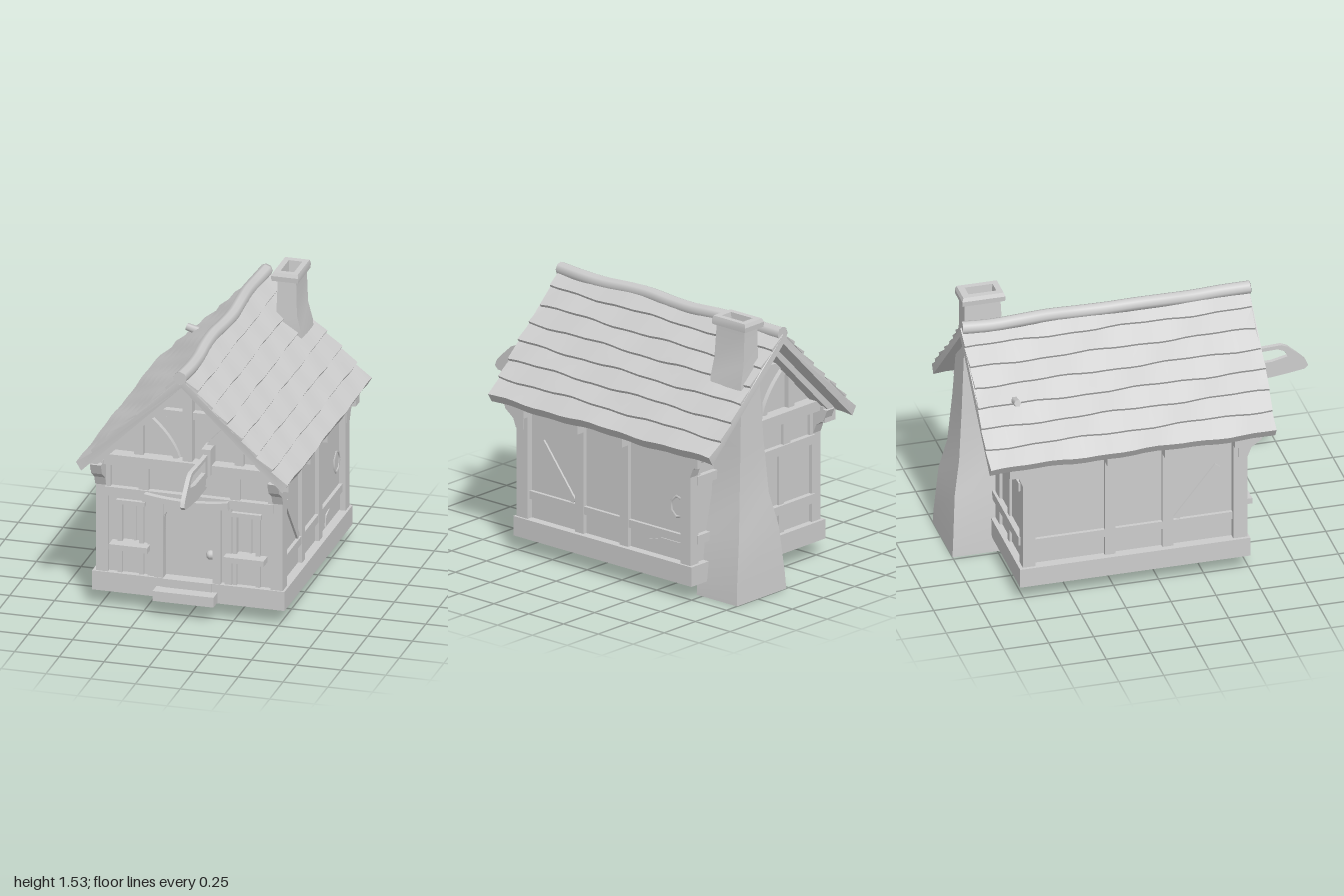
import * as THREE from 'three';
import { toCreasedNormals } from 'three/addons/utils/BufferGeometryUtils.js';

export function createModel() {
  const house = new THREE.Group();
  house.name = 'cottage';
  const clay = new THREE.MeshStandardMaterial({ color: 0xcccccc, side: THREE.DoubleSide });
  clay.name = 'clay grey';

  const add = (name, geometry, parent = house) => {
    const mesh = new THREE.Mesh(geometry, clay);
    mesh.name = name;
    parent.add(mesh);
    return mesh;
  };
  // Box given by its limits on each axis
  const box = (name, x0, x1, y0, y1, z0, z1, parent) => {
    const mesh = add(name, new THREE.BoxGeometry(x1 - x0, y1 - y0, z1 - z0), parent);
    mesh.position.set((x0 + x1) / 2, (y0 + y1) / 2, (z0 + z1) / 2);
    return mesh;
  };
  const polygon = (points) => new THREE.Shape(points.map(([x, y]) => new THREE.Vector2(x, y)));
  const slab = (name, shape, z0, z1, parent, steps = 1) => {
    const g = new THREE.ExtrudeGeometry(shape, { depth: z1 - z0, steps, bevelEnabled: false, curveSegments: 8 });
    g.translate(0, 0, z0);
    return add(name, toCreasedNormals(g, 0.5), parent);
  };
  // Straight slanted timber in the xy plane
  const timber = (name, a, b, width, z0, z1, parent) => {
    const dx = b[0] - a[0], dy = b[1] - a[1];
    const mesh = add(name, new THREE.BoxGeometry(Math.hypot(dx, dy), width, z1 - z0), parent);
    mesh.position.set((a[0] + b[0]) / 2, (a[1] + b[1]) / 2, (z0 + z1) / 2);
    mesh.rotation.z = Math.atan2(dy, dx);
    return mesh;
  };
  // Curved timber: a quadratic strip of constant width
  const curvedTimber = (name, a, c, b, width, z0, z1, parent) => {
    const v = (p) => new THREE.Vector2(...p);
    const curve = new THREE.QuadraticBezierCurve(v(a), v(c), v(b));
    const outer = [], inner = [];
    for (let i = 0; i <= 8; i++) {
      const p = curve.getPoint(i / 8), t = curve.getTangent(i / 8);
      outer.push([p.x - t.y * width / 2, p.y + t.x * width / 2]);
      inner.unshift([p.x + t.y * width / 2, p.y - t.x * width / 2]);
    }
    return slab(name, polygon([...outer, ...inner]), z0, z1, parent);
  };

  // Open foundation frame
  for (const s of [-1, 1]) {
    const [a, b] = s < 0 ? [-0.54, -0.45] : [0.45, 0.535];
    box('sideSill', a, b, 0.09, 0.2, -0.78, 0.5);
  }
  box('frontSill', -0.46, 0.46, 0.09, 0.2, 0.41, 0.5);
  box('backSill', -0.46, 0.46, 0.09, 0.2, -0.78, -0.69);
  box('doorStep', -0.18, 0.16, 0.095, 0.152, 0.48, 0.575);

  // Plaster end walls up to the gable peak
  const gable = () => polygon([[-0.48, 0.18], [0.48, 0.18], [0.48, 0.9], [0, 1.39], [-0.48, 0.9]]);
  const frontWall = gable();
  const doorway = polygon([[-0.145, 0.19], [0.13, 0.19], [0.13, 0.54]]);
  doorway.quadraticCurveTo(0.12, 0.6, 0.06, 0.605);
  doorway.lineTo(-0.08, 0.605);
  doorway.quadraticCurveTo(-0.14, 0.59, -0.145, 0.54);
  frontWall.holes.push(doorway);
  const windows = [[-0.39, -0.27], [0.25, 0.38]];
  for (const [a, b] of windows) frontWall.holes.push(polygon([[a, 0.38], [b, 0.38], [b, 0.6], [a, 0.6]]));
  slab('frontPlaster', frontWall, 0.44, 0.465);
  slab('backPlaster', gable(), -0.74, -0.72);

  // Door and windows
  box('door', -0.16, 0.14, 0.17, 0.62, 0.42, 0.435);
  box('doorThreshold', -0.145, 0.13, 0.15, 0.2, 0.44, 0.505);
  const knob = add('doorHandle', new THREE.SphereGeometry(0.026, 8, 6));
  knob.position.set(0.11, 0.35, 0.46);
  box('doorPostLeft', 0.13, 0.175, 0.2, 0.65, 0.44, 0.495);
  box('doorPostRight', -0.195, -0.145, 0.2, 0.65, 0.44, 0.495);
  const arch = polygon([[-0.15, 0.65], [-0.15, 0.54]]);
  arch.quadraticCurveTo(-0.14, 0.59, -0.08, 0.605);
  arch.lineTo(0.06, 0.605);
  arch.quadraticCurveTo(0.12, 0.6, 0.135, 0.54);
  arch.lineTo(0.135, 0.65);
  slab('doorArch', arch, 0.44, 0.49);
  for (const [a, b] of windows) {
    box('windowPane', a - 0.01, b + 0.01, 0.37, 0.61, 0.43, 0.44);
    for (const x of [a, b]) box('windowJamb', x - 0.012, x + 0.012, 0.2, 0.61, 0.45, 0.482);
    box('windowHead', a - 0.02, b + 0.02, 0.595, 0.62, 0.45, 0.488);
    box('windowMullion', (a + b) / 2 + 0.01, (a + b) / 2 + 0.022, 0.38, 0.6, 0.435, 0.45);
    box('windowSill', a - 0.045, b + 0.05, 0.348, 0.38, 0.45, 0.54);
  }
  const lintel = polygon([[-0.25, 0.645], [0.23, 0.645], [0.225, 0.69]]);
  lintel.quadraticCurveTo(0, 0.65, -0.24, 0.69);
  slab('doorLintel', lintel, 0.46, 0.535);

  // Timber framing shared by both ends; the back copy is turned round
  const endFrame = (name, isFront) => {
    const g = new THREE.Group();
    g.name = name;
    box('middleBeam', -0.47, 0.47, 0.645, 0.695, 0.44, 0.5, g);
    box('tieBeam', -0.47, 0.47, 0.84, 0.9, 0.45, 0.54, g);
    box('kingPost', -0.028, 0.024, 0.9, 1.39, 0.45, 0.52, g);
    box('collarBeam', -0.23, 0.23, 1.14, 1.18, 0.45, 0.505, g);
    for (const s of [-1, 1]) {
      const post = (n, x, w, y0, y1, z1) => box(n, s * x - w / 2, s * x + w / 2, y0, y1, 0.44, z1, g);
      post('studUpper', 0.255, 0.055, 0.69, 0.84, 0.49);
      post('studGable', 0.28, 0.05, 0.9, 1.1, 0.5);
      post('studEdge', 0.46, 0.04, 0.69, 0.86, 0.49);
      post('studLower', 0.215, 0.04, 0.2, 0.65, 0.485);
      if (!isFront) post('studMiddle', 0.02, 0.045, 0.2, 0.65, 0.485);
      curvedTimber('gableBrace', [s * 0.07, 0.9], [s * 0.11, 1.02], [s * 0.24, 1.12], 0.035, 0.45, 0.495, g);
      timber('rafter', [s * 0.005, 1.365], [s * 0.53, 0.85], 0.06, 0.49, 0.575, g);
      // Curved bracket under the overhang
      const side = polygon([[0.44, 0.85], [0.59, 0.85], [0.565, 0.79], [0.51, 0.75], [0.49, 0.7], [0.44, 0.7]]);
      const bracket = slab('jettyBracket', side, -0.03, 0.03, g);
      bracket.rotation.y = -Math.PI / 2;
      bracket.position.x = s * 0.495;
    }
    house.add(g);
    return g;
  };
  endFrame('frontFrame', true);
  const back = endFrame('backFrame', false);
  back.rotation.y = Math.PI;
  back.position.z = -0.27;
  box('backRail', -0.47, 0.47, 0.31, 0.36, -0.77, -0.73);

  // Long side walls, posts, rails and rafter ends
  const postZ = [[0.41, 0.49], [0.02, 0.08], [-0.3, -0.24], [-0.76, -0.69]];
  for (const s of [-1, 1]) {
    const sideBox = (name, xIn, xOut, y0, y1, z0, z1) =>
      box(name, Math.min(s * xIn, s * xOut), Math.max(s * xIn, s * xOut), y0, y1, z0, z1);
    sideBox('sidePlaster', 0.465, 0.485, 0.18, 0.88, -0.73, 0.45);
    sideBox('sideRail', 0.47, 0.505, 0.31, 0.355, -0.7, 0.42);
    sideBox('wallPlate', 0.465, 0.51, 0.82, 0.865, -0.83, 0.55);
    postZ.forEach(([z0, z1], i) => {
      const corner = i === 0 || i === 3;
      sideBox('sidePost', 0.455, corner ? 0.522 : 0.508, 0.19, 0.85, z0, z1);
      const shift = i === 3 ? -0.08 : 0;
      sideBox('rafterEnd', 0.47, 0.555, 0.775, 0.845, z0 + shift, z1 + shift);
    });
    const brace = timber('sideBrace', [0.1, 0.36], [0.33, 0.65], 0.04, -0.02, 0.015);
    brace.position.set(s * 0.482, 0.505, 0.215);
    brace.rotation.set(Math.atan2(-0.29, 0.23), 0, 0);
    brace.geometry = new THREE.BoxGeometry(0.03, 0.035, 0.37);
  }

  // Broken plaster patches on the left wall
  const patch = add('plasterPatch', new THREE.TorusGeometry(0.052, 0.007, 4, 7));
  patch.rotation.y = Math.PI / 2;
  patch.position.set(0.486, 0.5, -0.64);
  patch.scale.y = 1.15;
  const chip = slab('plasterChip', polygon([[-0.69, 0.21], [-0.42, 0.21], [-0.43, 0.27], [-0.53, 0.3], [-0.69, 0.3]]), 0, 0.008);
  chip.rotation.y = -Math.PI / 2;
  chip.position.x = 0.492;

  // Roof: stepped shingle courses swept along z, then gently warped
  const half = [];
  const courses = 7, run = 0.083;
  for (let i = 0; i < courses; i++) {
    const u0 = i * run, u1 = u0 + run;
    half.push([u0 + 0.002, 1.428 - 0.98 * u0], [u1 + 0.01, 1.442 - 0.98 * u1]);
  }
  half.push([0.562, 0.825]);
  const mirrored = half.map(([x, y]) => [-x, y]).reverse();
  const roof = new THREE.ExtrudeGeometry(polygon([...half, [0, 1.375], ...mirrored]),
    { depth: 1.595, steps: 24, bevelEnabled: false });
  roof.translate(0, 0, -0.958);
  const p = roof.attributes.position;
  for (let i = 0; i < p.count; i++) {
    const x = p.getX(i), z = p.getZ(i), k = Math.floor(Math.abs(x) / run + 0.3);
    p.setY(i, p.getY(i) + 0.005 * Math.sin(9 * z + 2.1 * k + x) + 0.003 * Math.sin(23 * z + k * 4));
    if (Math.abs(z) > 0.63) p.setZ(i, z + 0.006 * Math.sin(k * 5 + z));
  }
  add('shingleRoof', toCreasedNormals(roof, 0.5));

  // Ridge roll
  const ridgePoints = [];
  for (let i = 0; i <= 10; i++) {
    ridgePoints.push(new THREE.Vector3(-0.006 + 0.008 * Math.sin(i * 1.3), 1.426 + 0.005 * Math.cos(i * 1.7), 0.645 - i * 0.16));
  }
  const ridge = new THREE.CatmullRomCurve3(ridgePoints);
  add('ridgeRoll', new THREE.TubeGeometry(ridge, 30, 0.037, 8));
  for (const z of [0.645, -0.955]) {
    const end = add('ridgeEnd', new THREE.CircleGeometry(0.037, 8));
    end.position.set(z > 0 ? -0.006 : 0, 1.43, z);
  }

  // Chimney lofted from rectangles [y, x0, x1, z0, z1], ending inside the flue
  const rings = [
    [0, 0.02, 0.415, -1, -0.71], [0.09, 0.025, 0.41, -0.995, -0.71], [0.36, 0.055, 0.375, -0.978, -0.71],
    [0.55, 0.095, 0.33, -0.942, -0.71], [0.85, 0.115, 0.3, -0.922, -0.7], [1.2, 0.13, 0.275, -0.905, -0.685],
    [1.3, 0.135, 0.25, -0.9, -0.69], [1.485, 0.14, 0.243, -0.9, -0.7], [1.487, 0.11, 0.258, -0.918, -0.682],
    [1.515, 0.108, 0.26, -0.92, -0.68], [1.535, 0.118, 0.255, -0.912, -0.688], [1.535, 0.15, 0.225, -0.875, -0.72],
    [1.36, 0.16, 0.215, -0.86, -0.74],
  ];
  const verts = [], faces = [];
  rings.forEach(([y, a, b, c, d], r) => {
    verts.push(a, y, d, b, y, d, b, y, c, a, y, c);
    if (r) for (let k = 0; k < 4; k++) {
      const i = (r - 1) * 4 + k, j = (r - 1) * 4 + (k + 1) % 4;
      faces.push(i, j, j + 4, i, j + 4, i + 4);
    }
  });
  const n = (rings.length - 1) * 4;
  faces.push(0, 2, 1, 0, 3, 2, n, n + 1, n + 2, n, n + 2, n + 3);
  const stack = new THREE.BufferGeometry();
  stack.setAttribute('position', new THREE.Float32BufferAttribute(verts, 3));
  stack.setIndex(faces);
  add('chimney', toCreasedNormals(stack, 0.4));

  // Small vent pipe poking out of the roof
  const vent = add('roofVent', new THREE.CylinderGeometry(0.02, 0.024, 0.1, 6));
  vent.position.set(-0.335, 1.125, -0.75);
  vent.rotation.z = 1.3;

  // Hanging sign: leaf-shaped board below an open bracket
  const sign = polygon([[1, 0.835], [0.985, 0.87], [0.94, 0.915], [0.885, 0.965], [0.85, 0.98], [0.64, 0.97],
    [0.5, 0.97], [0.5, 0.85], [0.59, 0.84], [0.6, 0.8], [0.57, 0.785], [0.75, 0.785], [0.88, 0.8], [0.98, 0.815]]);
  sign.holes.push(polygon([[0.885, 0.905], [0.87, 0.94], [0.83, 0.957], [0.6, 0.95], [0.6, 0.88], [0.8, 0.885]]));
  const board = slab('hangingSign', sign, -0.012, 0.012);
  board.rotation.y = -Math.PI / 2;
  board.position.x = 0.112;
  box('signMount', 0.09, 0.14, 0.85, 1, 0.46, 0.565);

  return house;
}
